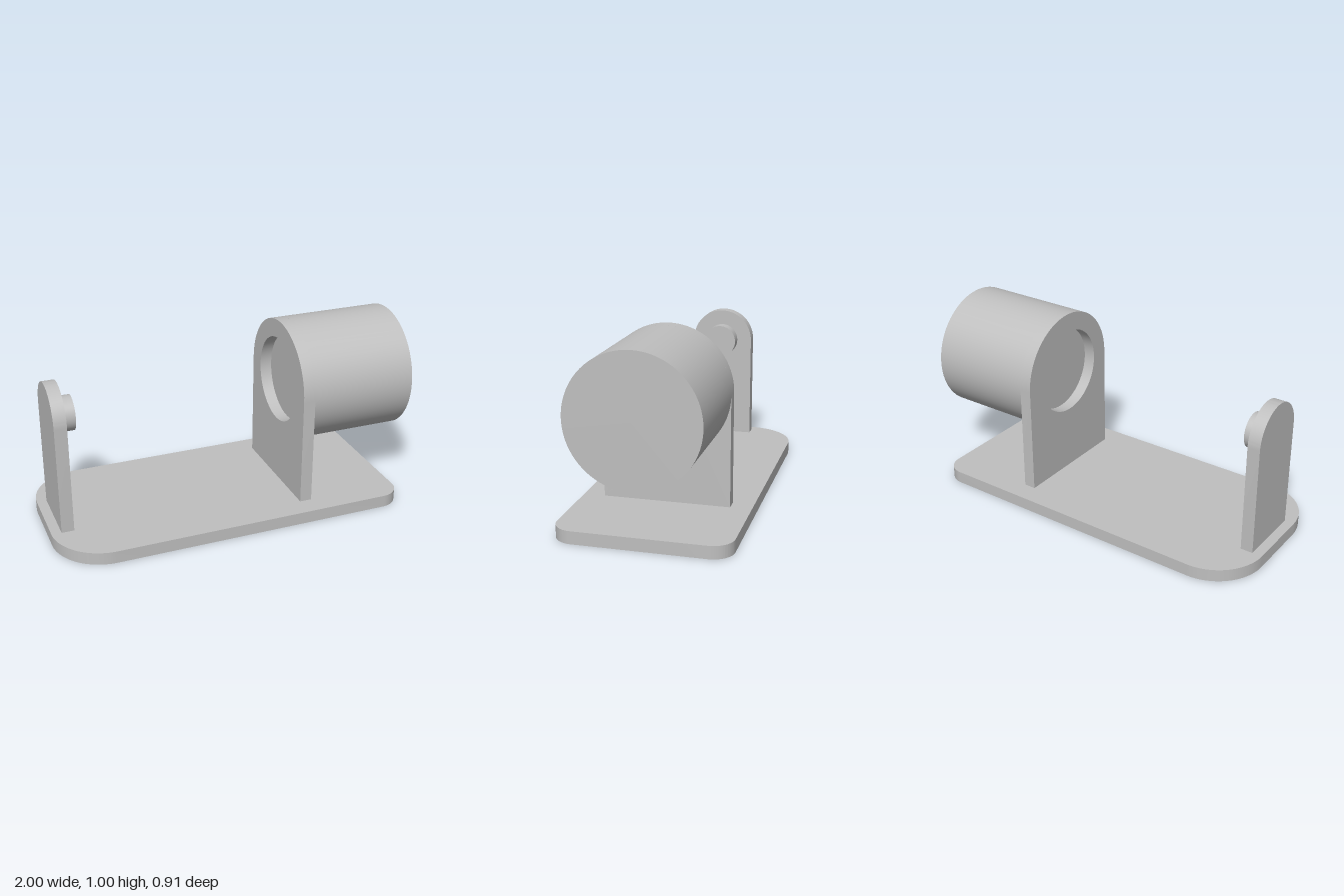
import * as THREE from 'three';
import { toCreasedNormals } from 'three/addons/utils/BufferGeometryUtils.js';

const AXIS_Y = 0.664; // shared height of drum and pin
const BASE_TOP = 0.068;

export function createModel() {
  const group = new THREE.Group();
  const grey = new THREE.MeshStandardMaterial({ color: 0xbfbfbf });
  grey.name = 'plain grey';

  const add = (name, geometry) => {
    const mesh = new THREE.Mesh(geometry, grey);
    mesh.name = name;
    group.add(mesh);
    return mesh;
  };
  const extrude = (shape, depth) => toCreasedNormals(
    new THREE.ExtrudeGeometry(shape, { depth, bevelEnabled: false, curveSegments: 32 }), 0.5);

  // Base plate: large corner radii at one end, small at the other
  const x0 = -1, x1 = 0.922, w = 0.453, R = 0.28, r = 0.11;
  const outline = new THREE.Shape();
  outline.moveTo(x0 + R, -w);
  outline.absarc(x1 - r, -w + r, r, -Math.PI / 2, 0);
  outline.absarc(x1 - r, w - r, r, 0, Math.PI / 2);
  outline.absarc(x0 + R, w - R, R, Math.PI / 2, Math.PI);
  outline.absarc(x0 + R, -w + R, R, Math.PI, Math.PI * 1.5);
  add('basePlate', extrude(outline, BASE_TOP).rotateX(-Math.PI / 2));

  // Upright with a rounded top, optionally bored through
  const upright = (name, x, thickness, radius, bore) => {
    const shape = new THREE.Shape();
    shape.moveTo(-radius, BASE_TOP);
    shape.lineTo(radius, BASE_TOP);
    shape.absarc(0, AXIS_Y, radius, 0, Math.PI);
    shape.closePath();
    if (bore) shape.holes.push(new THREE.Path().absarc(0, AXIS_Y, bore, 0, Math.PI * 2, true));
    add(name, extrude(shape, thickness).rotateY(Math.PI / 2)).position.x = x;
  };
  upright('drumSupport', 0.352, 0.066, 0.339, 0.238);
  upright('pinSupport', -0.946, 0.068, 0.18);

  // Cylinders lying along x
  const cylinder = (name, from, to, radius) => {
    const geometry = new THREE.CylinderGeometry(radius, radius, to - from, 80).rotateZ(-Math.PI / 2);
    add(name, geometry).position.set((from + to) / 2, AXIS_Y, 0);
  };
  cylinder('drum', 0.418, 1, 0.339);
  cylinder('pin', -0.878, -0.811, 0.094);

  return group;
}
